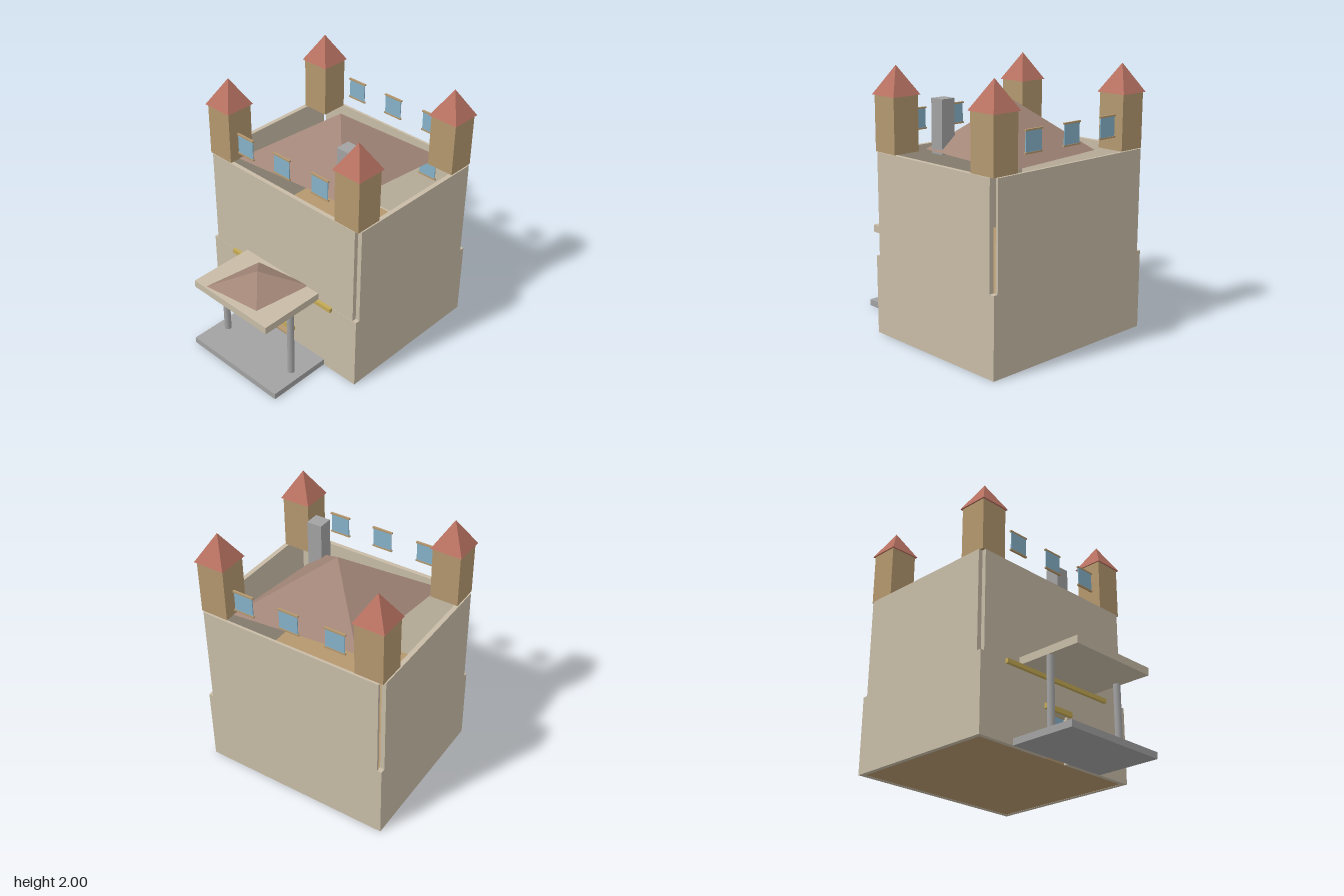
import * as THREE from 'three';

const mat = (name, color) => {
  const m = new THREE.MeshStandardMaterial({ color });
  m.name = name;
  return m;
};

export function createModel() {
  const wall = mat('pale stone', 0xc8bca7);
  const tan = mat('tan timber', 0xb4986f);
  const red = mat('red tile', 0xb87262);
  const brown = mat('brown tile', 0xa28678);
  const grey = mat('grey stone', 0xa2a2a2);
  const glass = mat('blue glass', 0x86b2c8);
  const yellow = mat('yellow trim', 0xc4aa55);

  const model = new THREE.Group();
  model.name = 'castle';

  const add = (name, geometry, material, parent = model) => {
    const mesh = new THREE.Mesh(geometry, material);
    mesh.name = name;
    parent.add(mesh);
    return mesh;
  };
  // Box given by its lower and upper limits on each axis
  const box = (name, material, x0, x1, y0, y1, z0, z1, parent = model) => {
    const mesh = add(name, new THREE.BoxGeometry(x1 - x0, y1 - y0, z1 - z0), material, parent);
    mesh.position.set((x0 + x1) / 2, (y0 + y1) / 2, (z0 + z1) / 2);
    return mesh;
  };
  // Four-sided roof: corner radii a and b lie along the two diagonals
  const pyramid = (name, material, a, b, height, x, y, z, parent = model) => {
    const geometry = new THREE.ConeGeometry(1, height, 4, 1).toNonIndexed();
    geometry.scale(a, 1, b).rotateY(Math.PI / 4).translate(0, height / 2, 0);
    geometry.computeVertexNormals();
    add(name, geometry, material, parent).position.set(x, y, z);
  };
  // Pane with a sill and a lintel
  const windowUnit = (name, x, y, z) => {
    const g = new THREE.Group();
    g.name = name;
    g.position.set(x, y, z);
    model.add(g);
    box('pane', glass, -0.075, 0.075, -0.075, 0.075, -0.004, 0.004, g);
    for (const s of [-1, 1]) {
      box('windowLedge', tan, -0.083, 0.083, s * 0.077 - 0.006, s * 0.077 + 0.006, -0.008, 0.008, g);
    }
  };

  // Floors
  box('groundFloor', tan, -0.72, 0.72, 0.002, 0.02, -0.85, 0.325);
  box('upperFloor', tan, -0.72, 0.72, 0.57, 0.598, -0.85, 0.325);

  // Lower storey, with a doorway in the front wall
  const front = new THREE.Shape();
  [[-0.755, 0], [-0.1, 0], [-0.1, 0.35], [0.1, 0.35], [0.1, 0], [0.755, 0], [0.755, 0.6], [-0.755, 0.6]]
    .forEach(([x, y], i) => (i ? front.lineTo(x, y) : front.moveTo(x, y)));
  add('lowerFrontWall', new THREE.ExtrudeGeometry(front, { depth: 0.035, bevelEnabled: false }), wall)
    .position.z = 0.325;
  box('lowerBackWall', wall, -0.755, 0.755, 0, 0.6, -0.885, -0.85);

  // Upper storey: separate slabs with open corners
  box('upperFrontWall', wall, -0.72, 0.72, 0.6, 1.38, 0.325, 0.358);
  box('upperBackWall', wall, -0.72, 0.72, 0.6, 1.38, -0.885, -0.865);
  for (const s of [-1, 1]) {
    const x0 = s > 0 ? 0.72 : -0.755;
    box('lowerSideWall', wall, x0, x0 + 0.035, 0, 0.6, -0.85, 0.325);
    box('upperSideWall', wall, x0, x0 + 0.035, 0.6, 1.38, -0.845, 0.325);
  }

  // Corner towers
  for (const x of [-0.635, 0.635]) {
    for (const z of [-0.76, 0.245]) {
      const tower = new THREE.Group();
      tower.name = 'tower';
      tower.position.set(x, 1.38, z);
      model.add(tower);
      box('towerShaft', tan, -0.11, 0.11, 0, 0.41, -0.108, 0.108, tower);
      pyramid('towerRoof', red, 0.173, 0.173, 0.21, 0, 0.41, 0, tower);
    }
  }

  // Main roof and chimney
  pyramid('mainRoof', brown, 0.75, 0.61, 0.375, 0, 1.38, -0.263);
  box('chimney', grey, 0.31, 0.43, 1.36, 1.76, -0.01, 0.105);

  // Window rows
  for (const x of [-0.37, 0, 0.37]) {
    for (const y of [1.19, 1.575]) {
      windowUnit('frontWindow', x, y, 0.335);
      windowUnit('backWindow', x, y, -0.857);
    }
  }
  windowUnit('doorWindow', 0, 0.255, 0.345);

  // Yellow trim across the front
  box('longBeam', yellow, -0.52, 0.52, 0.57, 0.603, 0.355, 0.385);
  box('doorLintel', yellow, -0.135, 0.135, 0.35, 0.388, 0.355, 0.385);
  box('doorRail', yellow, -0.135, 0.135, 0.16, 0.197, 0.355, 0.385);

  // Porch
  box('porchSlab', grey, -0.443, 0.443, 0, 0.05, 0.36, 0.877);
  for (const x of [-0.353, 0.353]) {
    const column = add('porchColumn', new THREE.CylinderGeometry(0.027, 0.027, 0.55, 12), grey);
    column.position.set(x, 0.325, 0.62);
  }
  box('porchCanopy', wall, -0.38, 0.38, 0.6, 0.658, 0.33, 0.888);
  pyramid('porchRoof', brown, 0.376, 0.283, 0.135, 0, 0.658, 0.605);

  return model;
}
